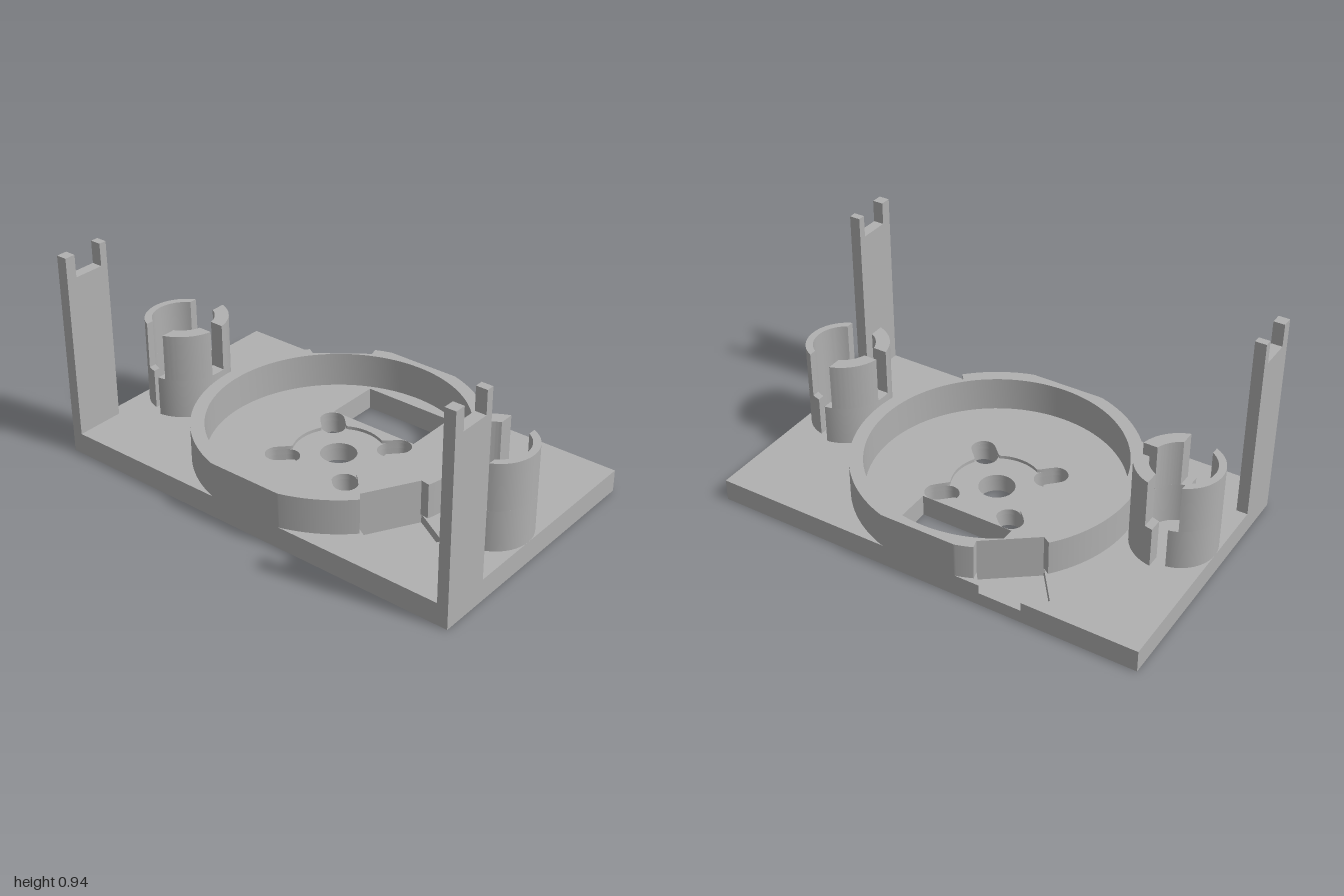
import * as THREE from 'three';
import { toCreasedNormals } from 'three/addons/utils/BufferGeometryUtils.js';

const TAU = Math.PI * 2;
const V = (x, z) => new THREE.Vector2(x, z);

// Extrude an outline drawn in (x, z) between two heights
function slab(outline, holes, y0, y1) {
  const shape = new THREE.Shape(outline);
  shape.holes = holes.map((h) => new THREE.Path(h));
  const g = new THREE.ExtrudeGeometry(shape, { depth: y1 - y0, bevelEnabled: false });
  g.rotateX(Math.PI / 2).translate(0, y1, 0);
  return toCreasedNormals(g, 0.4);
}

// Closed outline from a radius given per angle
function polar(radius, n) {
  return Array.from({ length: n }, (_, i) => {
    const a = (i / n) * TAU;
    return V(radius(a) * Math.cos(a), radius(a) * Math.sin(a));
  });
}

// Smallest signed difference between two angles
const angleDiff = (a, b) => Math.atan2(Math.sin(a - b), Math.cos(a - b));

// Rounded slot along a diagonal
function diagonalSlot(angle) {
  const pts = [];
  for (const [c, start] of [[0.262, -Math.PI / 2], [0.219, Math.PI / 2]]) {
    for (let i = 0; i <= 16; i++) {
      const a = start + (i / 16) * Math.PI;
      pts.push(V(c + 0.054 * Math.cos(a), 0.054 * Math.sin(a)).rotateAround(V(0, 0), angle));
    }
  }
  return pts;
}

// Recess outline: a circle joined with the outer ends of the four slots
function recessRadius(a) {
  const c = 0.262, w = 0.054;
  const d = Math.min(...[1, 3, 5, 7].map((k) => Math.abs(angleDiff(a, (k * Math.PI) / 4))));
  const s = Math.sin(d);
  if (d < 1e-6) return c + w;
  if (w / Math.tan(d) <= c) return Math.max(0.2, w / s);
  return c * Math.cos(d) + Math.sqrt(Math.max(0, w * w - c * c * s * s));
}

// Flats cut into the outside of the ring
const CUTS = [Math.PI / 6, (232.7 * Math.PI) / 180];
const CUT_IN = 0.57, CUT_OUT = 0.77, CUT_HALF = 0.135;

function ringRadius(a) {
  let r = Math.min(0.625, 0.6 / Math.max(1e-6, Math.abs(Math.sin(a))));
  for (const cut of CUTS) {
    const d = angleDiff(a, cut);
    if (Math.abs(d) < Math.atan(CUT_HALF / CUT_IN)) r = Math.min(r, CUT_IN / Math.cos(d));
  }
  return r;
}

// Curved wall whose two ends are angles depending on the radius
function curvedWall(side, R, r, from, to, y0, y1) {
  const pts = [], n = 28;
  for (const [rad, a, b] of [[R, from(R), to(R)], [r, to(r), from(r)]]) {
    for (let i = 0; i <= n; i++) {
      const t = a + ((b - a) * i) / n;
      pts.push(V(side * (0.83 - rad * Math.cos(t)), 0.0625 + rad * Math.sin(t)));
    }
  }
  return slab(pts, [], y0, y1);
}

export function createModel() {
  const model = new THREE.Group();
  model.name = 'mountingBase';
  const grey = new THREE.MeshStandardMaterial({ color: 0xb0b0b0 });
  grey.name = 'grey';
  const add = (name, geometry, parent = model) => {
    const mesh = new THREE.Mesh(geometry, grey);
    mesh.name = name;
    parent.add(mesh);
  };

  // Base plate in three layers: through holes, ring pockets, shallow recess
  const plate = new THREE.Group();
  plate.name = 'basePlate';
  model.add(plate);
  const rect = [V(-1, -0.6), V(1, -0.6), V(1, 0.6), V(-1, 0.6)];
  const notched = [
    V(-1, -0.6), V(-0.482, -0.6), V(-0.574, -0.53), V(-0.453, -0.371), V(-0.238, -0.535),
    V(-0.288, -0.6), V(1, -0.6), V(1, 0.6), V(-1, 0.6),
  ];
  const window_ = [V(-0.22, -0.5), V(0.22, -0.5), V(0.22, -0.24), V(-0.22, -0.24)];
  const shaft = polar(() => 0.08, 48);
  const slots = [1, 3, 5, 7].map((k) => diagonalSlot((k * Math.PI) / 4));
  const pocket = [
    [CUT_IN, -CUT_HALF], [CUT_OUT, -CUT_HALF], [CUT_OUT, CUT_HALF], [CUT_IN, CUT_HALF],
  ].map(([u, t]) => V(u, t).rotateAround(V(0, 0), CUTS[0]));
  add('plateBottom', slab(rect, [window_, shaft, ...slots], 0, 0.06), plate);
  add('plateMiddle', slab(notched, [window_, shaft, ...slots, pocket], 0.06, 0.085), plate);
  add('plateTop', slab(notched, [window_, polar(recessRadius, 240), pocket], 0.085, 0.1), plate);

  // Round wall, trimmed at the plate edges and flattened at the pockets
  add('ringWall', slab(polar(ringRadius, 720), [polar(() => 0.565, 120)], 0.1, 0.26));

  for (const side of [-1, 1]) {
    const label = side > 0 ? 'left' : 'right';

    // Corner post with a notched top
    const post = new THREE.Shape([
      V(0.375, 0.1), V(0.6, 0.1), V(0.6, 0.9375), V(0.55, 0.9375),
      V(0.55, 0.835), V(0.41, 0.835), V(0.41, 0.9375), V(0.375, 0.9375),
    ]);
    const postGeo = new THREE.ExtrudeGeometry(post, { depth: 0.05, bevelEnabled: false });
    postGeo.rotateY(-Math.PI / 2).translate(side > 0 ? 1 : -0.95, 0, 0);
    add(label + 'Post', postGeo);

    // Split cylindrical holder: thick inner half, thin outer half
    const holder = new THREE.Group();
    holder.name = label + 'Holder';
    model.add(holder);
    const past = (d) => (r) => Math.acos(d / r);
    const before = (d) => (r) => -Math.acos(d / r);
    const slotEdge = (r) => Math.asin(0.035 / r);
    const wall = (name, ...args) => add(name, curvedWall(side, ...args), holder);
    wall('innerWallLow', 0.2, 0.138, before(0.025), past(0.025), 0.1, 0.285);
    wall('innerWallFront', 0.2, 0.138, slotEdge, past(0.06), 0.285, 0.5);
    wall('innerWallBack', 0.2, 0.138, before(0.06), (r) => -slotEdge(r), 0.285, 0.5);
    const around = (d) => (r) => TAU - Math.acos(d / r);
    wall('outerWallLow', 0.17, 0.138, past(-0.03), around(-0.03), 0.1, 0.285);
    wall('outerWallHigh', 0.17, 0.138, past(-0.07), around(-0.07), 0.285, 0.5);
  }
  return model;
}
